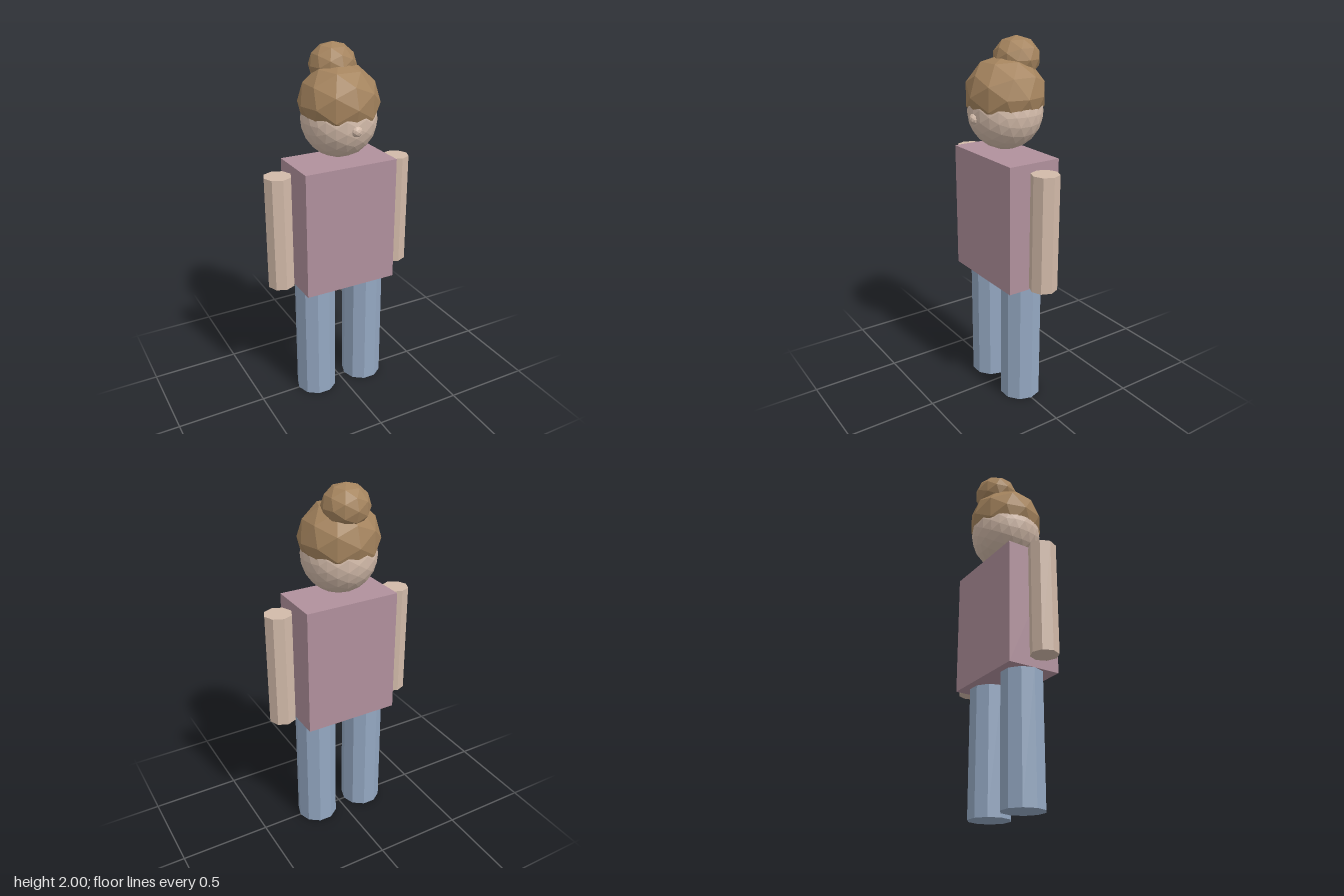
import * as THREE from 'three';

const material = (name, color) => {
  const m = new THREE.MeshStandardMaterial({ color, flatShading: true });
  m.name = name;
  return m;
};

export function createModel() {
  const model = new THREE.Group();
  model.name = 'figure';

  const skin = material('skin', 0xd2baa9);
  const shirt = material('shirt', 0xb0909c);
  const trousers = material('trousers', 0x94a8c2);
  const hair = material('hair', 0xa5845e);

  const add = (name, geometry, mat, x, y, z) => {
    const mesh = new THREE.Mesh(geometry, mat);
    mesh.name = name;
    mesh.position.set(x, y, z);
    model.add(mesh);
    return mesh;
  };

  // Torso
  add('torso', new THREE.BoxGeometry(0.534, 0.7, 0.304), shirt, 0, 1.05, 0);

  // Arms and legs, mirrored; leg corners point sideways
  const armGeometry = new THREE.CylinderGeometry(0.075, 0.075, 0.63, 8);
  const legGeometry = new THREE.CylinderGeometry(0.115, 0.115, 0.7, 10).rotateY(Math.PI / 2);
  for (const [side, s] of [['left', 1], ['right', -1]]) {
    add(side + 'Arm', armGeometry, skin, s * 0.355, 1.05, 0);
    add(side + 'Leg', legGeometry, trousers, s * 0.153, 0.35, 0);
  }

  // Head and nose
  add('head', new THREE.IcosahedronGeometry(0.2, 3), skin, 0, 1.62, 0);
  add('nose', new THREE.IcosahedronGeometry(0.03, 1), skin, 0, 1.6, 0.188);

  // Hair cap overlapping the head, with a bun at the back
  add('hairCap', new THREE.IcosahedronGeometry(0.214, 1), hair, 0, 1.708, 0).scale.y = 0.95;
  add('hairBun', new THREE.IcosahedronGeometry(0.125, 1), hair, 0, 1.885, -0.068).scale.y = 0.92;

  return model;
}
